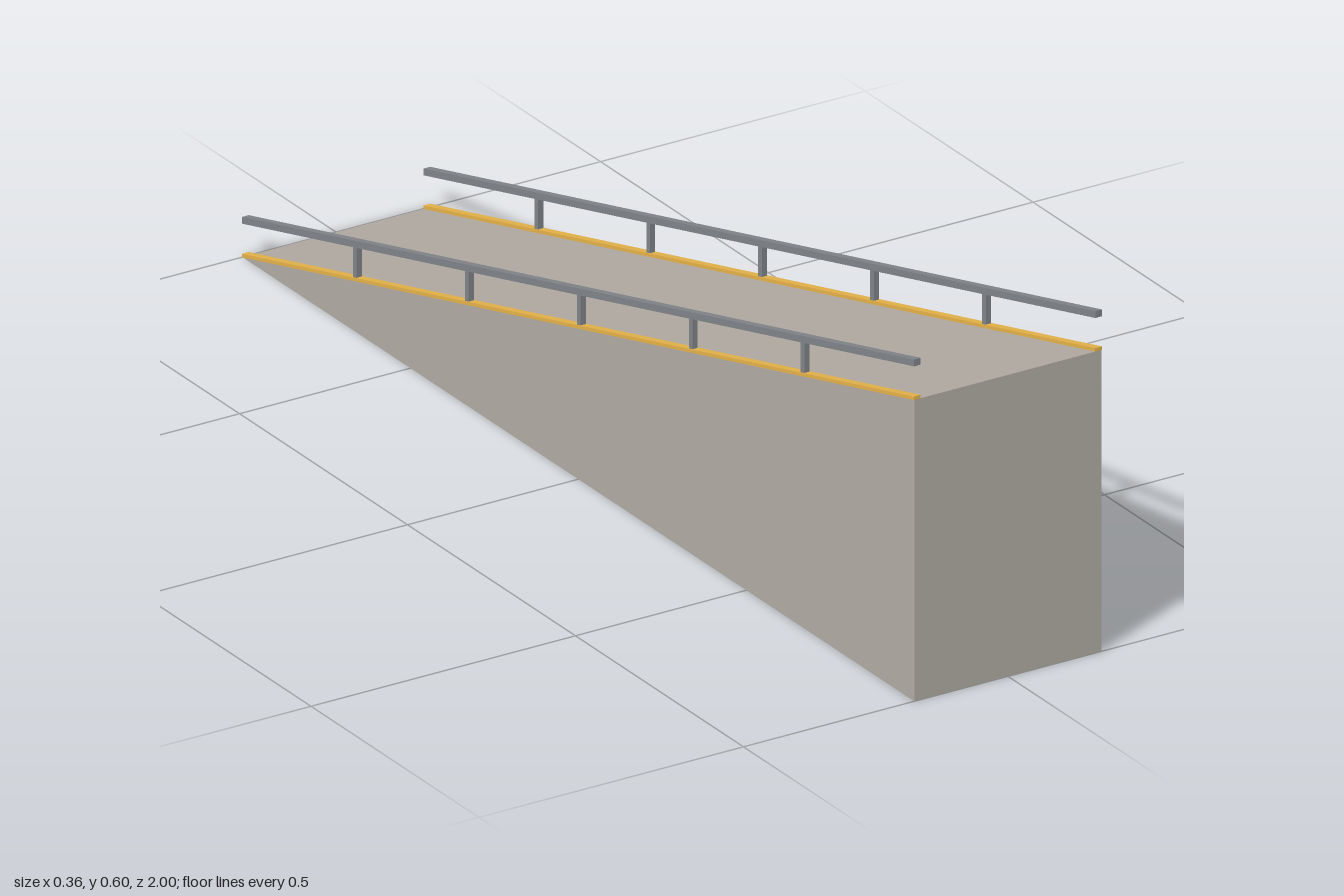
import * as THREE from 'three';

const HEIGHT = 0.53;
const slopeY = (z) => HEIGHT * (1 + z) / 2; // ramp surface height at z

// Extrude a [z, y] profile across x, from x - width/2 to x + width/2
function sideProfile(points, x, width, material, name) {
  const shape = new THREE.Shape(points.map(([z, y]) => new THREE.Vector2(-z, y)));
  const geo = new THREE.ExtrudeGeometry(shape, { depth: width, bevelEnabled: false });
  geo.rotateY(Math.PI / 2);
  geo.translate(x - width / 2, 0, 0);
  const mesh = new THREE.Mesh(geo, material);
  mesh.name = name;
  return mesh;
}

// Bar following the slope, between two heights above the surface, with upright ends
function slopedBar(x, width, low, high, material, name) {
  return sideProfile([
    [1, slopeY(1) + low], [-1, slopeY(-1) + low],
    [-1, slopeY(-1) + high], [1, slopeY(1) + high],
  ], x, width, material, name);
}

export function createModel() {
  const concrete = new THREE.MeshStandardMaterial({ color: 0xb3ada5 });
  concrete.name = 'concrete';
  const steel = new THREE.MeshStandardMaterial({ color: 0x82858a });
  steel.name = 'steel';
  const yellow = new THREE.MeshStandardMaterial({ color: 0xe8b54a });
  yellow.name = 'edge yellow';

  const model = new THREE.Group();
  model.name = 'ramp';

  // Solid wedge
  model.add(sideProfile([[1, 0], [-1, 0], [1, HEIGHT]], 0, 0.354, concrete, 'wedge'));

  for (const side of [1, -1]) {
    const label = side > 0 ? 'left' : 'right';
    const x = side * 0.1715;

    // Painted edge strip and handrail
    model.add(slopedBar(x, 0.013, 0, 0.006, yellow, label + 'EdgeStrip'));
    model.add(slopedBar(x, 0.0125, 0.059, 0.071, steel, label + 'Handrail'));

    // Evenly spaced posts
    const posts = new THREE.Group();
    posts.name = label + 'Posts';
    for (let i = -2; i <= 2; i++) {
      const z = i / 3;
      const post = new THREE.Mesh(new THREE.BoxGeometry(0.01, 0.064, 0.011), steel);
      post.name = 'post';
      post.position.set(x, slopeY(z) + 0.032, z);
      posts.add(post);
    }
    model.add(posts);
  }
  return model;
}
